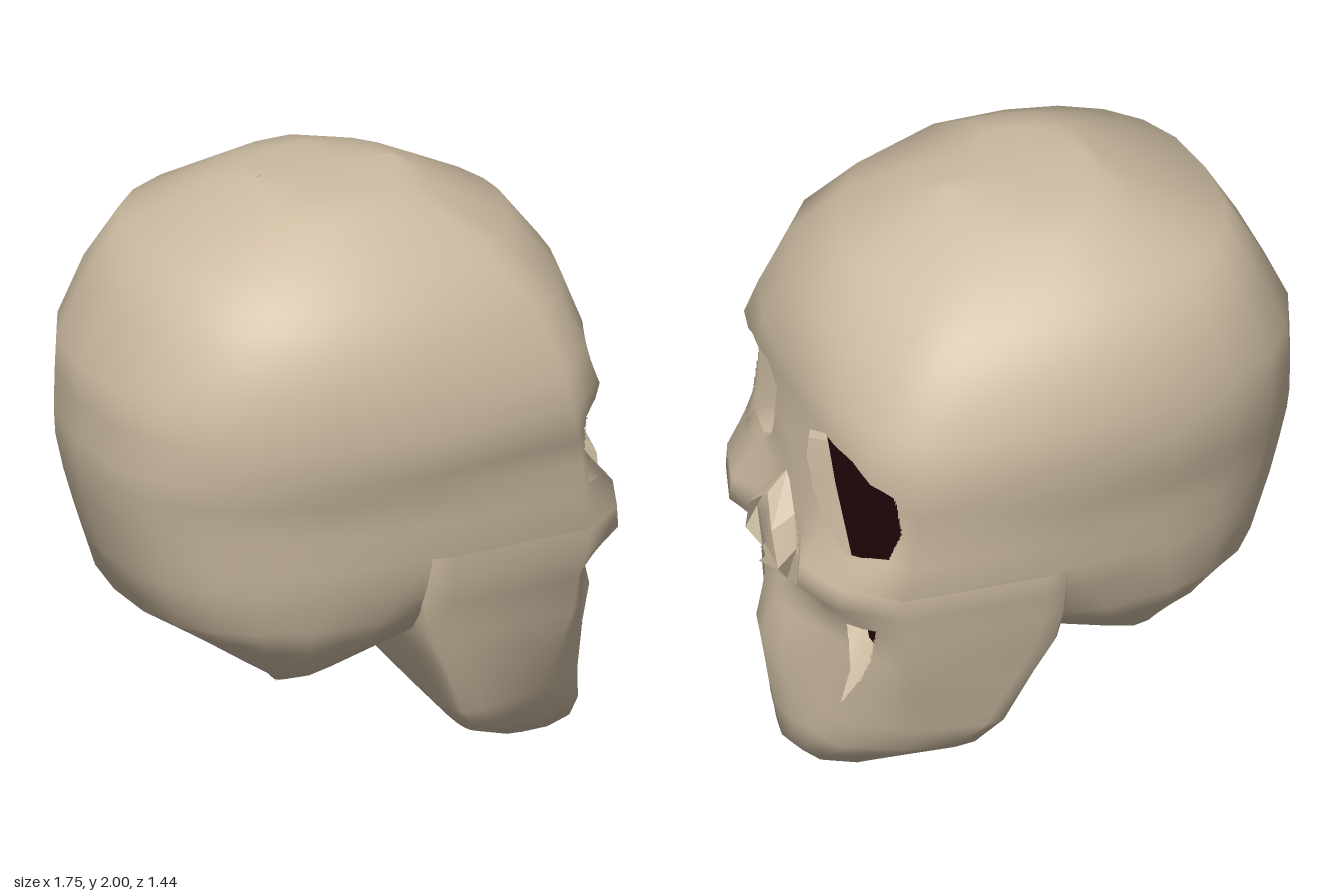
import * as THREE from 'three';

const bone = new THREE.MeshStandardMaterial({ color: 0xcdbca2, side: THREE.DoubleSide });
bone.name = 'bone';
const hollow = new THREE.MeshStandardMaterial({ color: 0x22080a, side: THREE.DoubleSide });
hollow.name = 'dark hollow';

// Openings as [|z|, y] outlines
const eyeHole = [[.55, 1.245], [.40, 1.315], [.23, 1.325], [.13, 1.28], [.13, 1.17], [.165, 1.085], [.245, 1.01], [.39, .965], [.54, 1.01], [.57, 1.115]];
const cheekSlit = [[.47, .70], [.35, .67], [.35, .49], [.30, .34], [.39, .47], [.44, .57]];
const noseHole = [[-.001, .98], [.09, .90], [.13, .78], [.10, .715], [.05, .71], [-.001, .735]];
const holes = [eyeHole, cheekSlit, noseHole];

// Each row: y, front x at four steps outwards, corner x and z, widest x and half width, back x
const vaultRows = [
  [2.00, .20, .19, .15, .08, .02, 0, -.02, 0, -.25],
  [1.985, .235, .23, .20, .15, .09, .15, -.01, .23, -.29],
  [1.955, .29, .29, .27, .23, .17, .26, .0, .36, -.36],
  [1.82, .56, .55, .51, .43, .33, .46, .02, .57, -.67],
  [1.64, .70, .69, .66, .58, .46, .58, .04, .69, -.775],
  [1.45, .755, .75, .73, .66, .52, .64, .05, .715, -.87],
  [1.33, .74, .74, .735, .70, .54, .67, .05, .72, -.875],
  [1.20, .765, .755, .73, .68, .58, .63, .05, .705, -.88],
  [1.12, .765, .755, .73, .68, .59, .62, .05, .67, -.88],
  [1.00, .775, .765, .74, .70, .60, .62, .05, .65, -.855],
];
const baseRows = [
  [.88, .78, .77, .84, .78, .62, .60, .02, .637, -.82],
  [.80, .77, .78, .85, .785, .60, .58, .0, .62, -.795],
  [.66, .25, .25, .25, .24, .20, .53, -.08, .58, -.75],
  [.57, .06, .06, .06, .05, .03, .48, -.14, .535, -.61],
  [.44, -.14, -.14, -.14, -.15, -.16, .36, -.25, .40, -.41],
  [.38, -.31, -.31, -.31, -.31, -.31, .27, -.31, .27, -.31],
];
const jawRows = [
  [1.00, .775, .765, .74, .70, .60, .62, .15, .65, .04],
  [.88, .78, .77, .84, .78, .62, .60, .15, .645, .04],
  [.80, .77, .78, .85, .785, .62, .60, .15, .635, .04],
  [.70, .79, .79, .75, .69, .60, .57, .15, .61, .04],
  [.58, .81, .80, .73, .69, .59, .55, .17, .58, .055],
  [.46, .86, .83, .74, .69, .56, .51, .22, .55, .12],
  [.27, .83, .80, .75, .69, .51, .45, .30, .50, .20],
  [.17, .805, .79, .755, .71, .52, .40, .38, .44, .27],
  [.055, .785, .775, .76, .73, .63, .24, .54, .25, .46],
  [.00, .66, .66, .65, .64, .63, 0, .62, 0, .60],
];
const B = 6, P = 5 + B, N = 2 * P; // back steps, columns per half ring and per full ring

function ring([y, f0, f1, f2, f3, xc, zc, mx, w, xb], power) {
  const half = [f0, f1, f2, f3, xc].map((x, k) => new THREE.Vector3(x, y, zc * [0, .2, .45, .75, 1][k]));
  for (let k = 0; k <= B; k++) {
    const a = k / B * Math.PI / 2, s = Math.sin(a), c = k === B ? 0 : Math.cos(a);
    half.push(new THREE.Vector3(mx - (mx - xb) * s ** (2 / power), y, w * c ** (2 / power)));
  }
  const mirror = half.slice(1, P).reverse().map(p => new THREE.Vector3(p.x, p.y, -p.z));
  return [...half, ...mirror];
}

function inside([z, y], poly) {
  let hit = false;
  poly.forEach(([az, ay], i) => {
    const [bz, by] = poly[(i + 1) % poly.length];
    if ((ay > y) !== (by > y) && z < (bz - az) * (y - ay) / (by - ay) + az) hit = !hit;
  });
  return hit;
}

// Pull a surface point onto a nearby hole outline so that the rims are clean
function snap(p) {
  const side = p.z < 0 ? -1 : 1, q = new THREE.Vector2(Math.abs(p.z), p.y);
  let best = .0065, to = null;
  for (const poly of holes) poly.forEach((a, i) => {
    const b = poly[(i + 1) % poly.length];
    if (a[0] < 0 && b[0] < 0) return;
    const A = new THREE.Vector2(...a), d = new THREE.Vector2(...b).sub(A);
    const t = THREE.MathUtils.clamp(q.clone().sub(A).dot(d) / d.lengthSq(), 0, 1);
    const n = A.addScaledVector(d, t), dist = n.distanceTo(q);
    if (dist < best) { best = dist; to = n; }
  });
  if (to) { p.z = side * Math.max(to.x, 0); p.y = to.y; }
  return p;
}

// Skin the rings; front panels are subdivided and have the openings cut out
function shell(rows, power, capTop, draw) {
  const pts = rows.flatMap(r => ring(r, power)), index = [];
  const id = (i, j) => i * N + j % N;
  for (let i = 0; i < rows.length - 1; i++) for (let j = 0; j < N; j++) {
    const a = id(i, j), b = id(i + 1, j), c = id(i + 1, j + 1), d = id(i, j + 1);
    index.push(a, d, c, a, c, b);
  }
  const cage = new THREE.BufferGeometry().setFromPoints(pts).setIndex(index);
  cage.computeVertexNormals();
  const nor = pts.map((p, k) => {
    if (capTop && k < N) return new THREE.Vector3(0, 1, 0);
    if (k >= pts.length - N) return new THREE.Vector3(0, -1, 0);
    return new THREE.Vector3().fromBufferAttribute(cage.attributes.normal, k);
  });
  const pos = [], nrm = [];
  const mix = (v, q, s, t) => v[q[0]].clone().lerp(v[q[1]], s).lerp(v[q[3]].clone().lerp(v[q[2]], s), t);
  for (let i = 0; i < rows.length - 1; i++) for (let j = 0; j < N; j++) {
    const front = j < 4 || j >= N - 4;
    if (!draw(i, front)) continue;
    const cut = front && rows[i + 1][0] < 1.34 && rows[i][0] > .33 && rows[i][1] > .5;
    const S = cut ? 22 : 3, q = [id(i, j), id(i, j + 1), id(i + 1, j + 1), id(i + 1, j)];
    const grid = [];
    for (let s = 0; s <= S; s++) for (let t = 0; t <= S; t++) {
      const p = mix(pts, q, s / S, t / S);
      grid.push({ p: cut ? snap(p) : p, n: mix(nor, q, s / S, t / S).normalize() });
    }
    const at = (s, t) => grid[s * (S + 1) + t];
    for (let s = 0; s < S; s++) for (let t = 0; t < S; t++) {
      const a = at(s, t), b = at(s + 1, t), c = at(s + 1, t + 1), d = at(s, t + 1);
      for (const tri of [[a, b, c], [a, c, d]]) {
        const z = Math.abs(tri.reduce((m, v) => m + v.p.z, 0) / 3), y = tri.reduce((m, v) => m + v.p.y, 0) / 3;
        if (cut && holes.some(h => inside([z, y], h))) continue;
        for (const v of tri) { pos.push(...v.p.toArray()); nrm.push(...v.n.toArray()); }
      }
    }
  }
  const g = new THREE.BufferGeometry();
  g.setAttribute('position', new THREE.Float32BufferAttribute(pos, 3));
  g.setAttribute('normal', new THREE.Float32BufferAttribute(nrm, 3));
  return g;
}

// Raised rim of bone round the nose opening: outer loop on the face, inner loop forward
function noseRim() {
  const outer = [[.765, 1.06, 0], [.785, .95, .10], [.805, .86, .16], [.78, .70, .14], [.78, .68, .05], [.785, .67, 0]];
  const inner = [[.835, .985, 0], [.86, .90, .09], [.855, .78, .13], [.81, .715, .10], [.82, .71, .05], [.865, .735, 0]];
  const pos = [];
  for (const m of [1, -1]) for (let k = 0; k < 5; k++) {
    const [a, b, c, d] = [outer[k], outer[k + 1], inner[k + 1], inner[k]].map(([x, y, z]) => [x, y, z * m]);
    pos.push(...(m > 0 ? [a, b, c, a, c, d] : [a, c, b, a, d, c]).flat());
  }
  const g = new THREE.BufferGeometry();
  g.setAttribute('position', new THREE.Float32BufferAttribute(pos, 3));
  g.computeVertexNormals();
  return g;
}

export function createModel() {
  const group = new THREE.Group();
  group.name = 'skull';
  const add = (name, geometry, material) => {
    const mesh = new THREE.Mesh(geometry, material);
    mesh.name = name;
    group.add(mesh);
  };
  // The jaw supplies the front below the eyes, so the cranium leaves it open there
  const jawTop = vaultRows.length;
  add('cranium', shell([...vaultRows, ...baseRows], 2.55, true, (i, front) => !(front && (i === jawTop || i === jawTop + 1))), bone);
  add('faceAndJaw', shell(jawRows, 6, false, i => i > 0), bone);
  add('noseRim', noseRim(), bone);

  // Dark peaked wall behind the eye, nose and cheek openings
  const edge = [[.06, 1.62], [.18, 1.51], [.23, 1.40], [.57, 1.36], [.58, .85], [.47, .62], [.35, .44], [.28, .34], [.20, .20]];
  const outline = [...edge, ...edge.map(([z, y]) => [-z, y]).reverse()];
  const wall = new THREE.Shape(outline.map(p => new THREE.Vector2(...p)));
  add('innerHollow', new THREE.ShapeGeometry(wall).rotateY(Math.PI / 2).translate(.40, 0, 0), hollow);
  return group;
}
